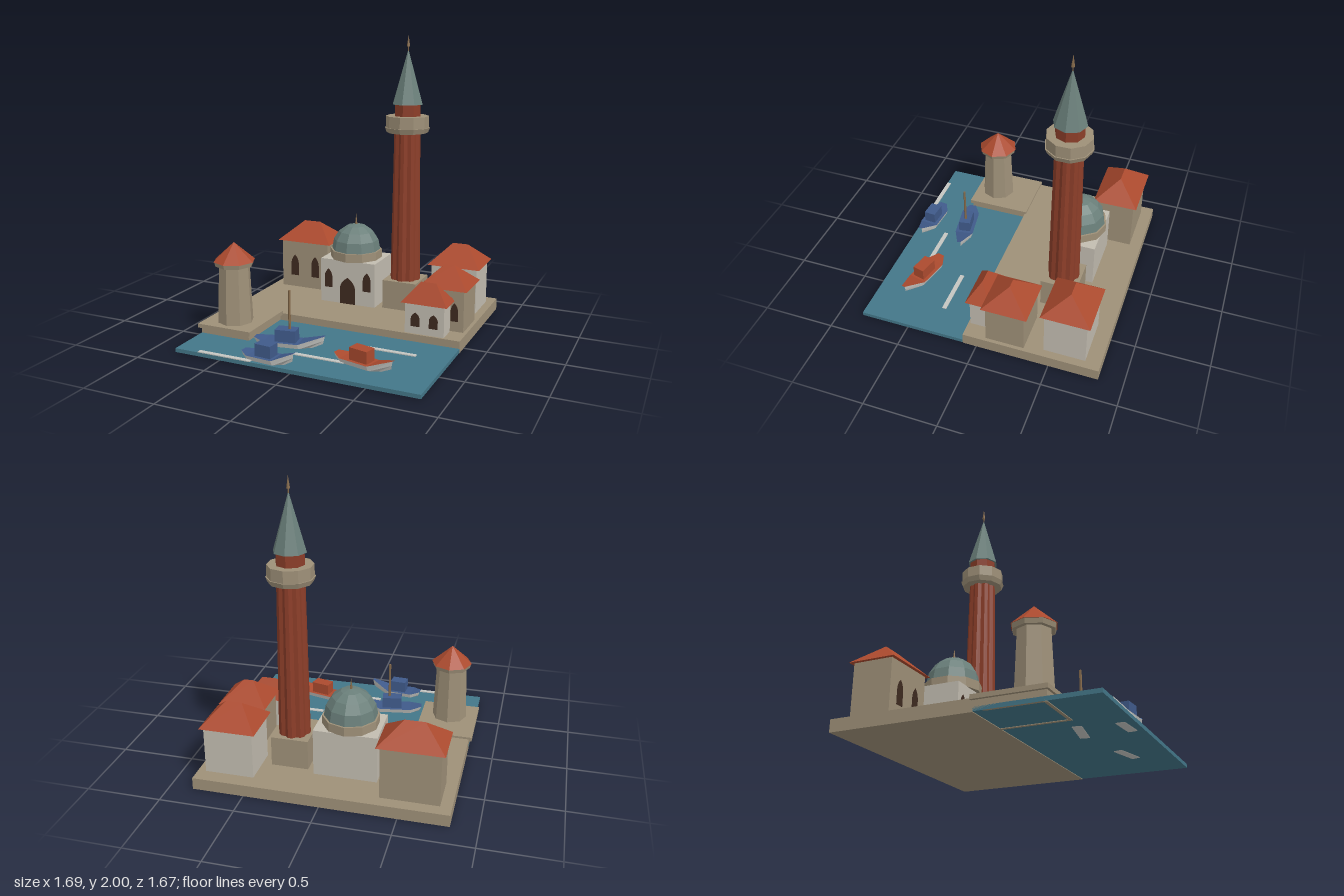
import * as THREE from 'three';

const paint = (name, color) => {
  const m = new THREE.MeshStandardMaterial({ color, flatShading: true });
  m.name = name;
  return m;
};

export function createModel() {
  const stone = paint('sandstone', 0x9e9078), sea = paint('sea blue', 0x437688);
  const tile = paint('roof tile red', 0xab4a2e), brick = paint('brick red', 0x8c3e29);
  const copper = paint('weathered copper', 0x6a7f7a), plaster = paint('pale plaster', 0xc2bcb0);
  const dark = paint('dark opening', 0x3e2a20), blue = paint('boat blue', 0x3f5a8a);
  const wood = paint('wood', 0x84694a), foam = paint('pale grey', 0xc4c5c1);

  const model = new THREE.Group();
  model.name = 'harbourTown';
  // Centres the whole layout on the origin
  const town = new THREE.Group();
  town.name = 'town';
  town.position.set(0.004, 0, 0.005);
  model.add(town);

  const add = (name, geo, mat, x = 0, y = 0, z = 0, parent = town) => {
    const m = new THREE.Mesh(geo, mat);
    m.name = name;
    m.position.set(x, y, z);
    parent.add(m);
    return m;
  };
  // Box given by its extents
  const block = (name, mat, x0, x1, y0, y1, z0, z1, parent = town) =>
    add(name, new THREE.BoxGeometry(x1 - x0, y1 - y0, z1 - z0), mat,
      (x0 + x1) / 2, (y0 + y1) / 2, (z0 + z1) / 2, parent);
  // Upright prism or cone between two heights
  const prism = (name, mat, rTop, rBottom, y0, y1, sides, x, z) =>
    add(name, new THREE.CylinderGeometry(rTop, rBottom, y1 - y0, sides), mat, x, (y0 + y1) / 2, z);
  // Flat-faced geometry from polygons; each entry is a fan of corner points
  const faceted = (faces, groupOf = () => 0) => {
    const pos = [], geo = new THREE.BufferGeometry();
    faces.forEach((f, n) => {
      const start = pos.length / 3;
      for (let i = 1; i < f.length - 1; i++) pos.push(...f[0], ...f[i], ...f[i + 1]);
      geo.addGroup(start, pos.length / 3 - start, groupOf(n));
    });
    geo.setAttribute('position', new THREE.Float32BufferAttribute(pos, 3));
    geo.computeVertexNormals();
    return geo;
  };
  // Thin pointed-arch plate on a front wall
  const arch = (name, x, y, z, w, h) => {
    const s = new THREE.Shape();
    s.moveTo(-w / 2, 0);
    s.lineTo(w / 2, 0);
    s.lineTo(w / 2, h * 0.58);
    s.quadraticCurveTo(w * 0.45, h * 0.84, 0, h);
    s.quadraticCurveTo(-w * 0.45, h * 0.84, -w / 2, h * 0.58);
    add(name, new THREE.ExtrudeGeometry(s, { depth: 0.004, bevelEnabled: false, curveSegments: 4 }), dark, x, y, z - 0.001);
  };

  // Ground, water and foam streaks
  block('quayGround', stone, -0.83, 0.84, 0, 0.08, -0.84, 0.09);
  block('water', sea, -0.83, 0.84, 0.004, 0.03, 0.09, 0.83);
  [[0.29, 0.625, 0.30], [-0.09, 0.26, 0.585], [-0.66, -0.28, 0.80]].forEach(([a, b, z]) =>
    block('foamStreak', foam, a, b, 0.028, 0.036, z, z + 0.03));

  // Pier: retaining walls under a slab
  block('pierSideWall', stone, -0.485, -0.465, 0, 0.07, 0.09, 0.525);
  block('pierFrontWall', stone, -0.83, -0.465, 0, 0.07, 0.505, 0.525);
  block('pierOuterWall', stone, -0.83, -0.81, 0.004, 0.07, 0.09, 0.525);
  block('pierSlab', stone, -0.85, -0.45, 0.067, 0.095, 0.08, 0.54);

  // Harbour tower on the pier
  const tx = -0.652, tz = 0.378;
  prism('towerBody', stone, 0.105, 0.122, 0.095, 0.49, 8, tx, tz);
  prism('towerCornice', stone, 0.138, 0.13, 0.488, 0.52, 8, tx, tz);
  prism('towerRoof', tile, 0, 0.142, 0.518, 0.645, 8, tx, tz);

  // Houses with hipped roofs, given by eaves extents and ridge ends
  const house = (mat, x0, x1, z0, z1, ridge0, ridge1, eaves, top, win) => {
    const e = 0.024, zc = (z0 + z1) / 2, xc = (x0 + x1) / 2;
    block('houseWalls', mat, x0 + e, x1 - e, 0.08, eaves + 0.005, z0 + e, z1 - e);
    const a = [x0, eaves, z1], b = [x1, eaves, z1], c = [x1, eaves, z0], d = [x0, eaves, z0];
    const l = [ridge0, top, zc], r = [ridge1, top, zc];
    add('houseRoof', faceted([[a, b, r, l], [b, c, r], [c, d, l, r], [d, a, l], [a, d, c, b]]), tile);
    const [off, y, w, h] = win;
    for (const s of [-1, 1]) arch('houseWindow', xc + s * off, y, z1 - e, w, h);
  };
  house(stone, -0.78, -0.35, -0.782, -0.468, -0.63, -0.50, 0.44, 0.575, [0.085, 0.17, 0.062, 0.16]);
  house(plaster, 0.435, 0.81, -0.762, -0.432, 0.57, 0.68, 0.40, 0.535, [0.08, 0.18, 0.055, 0.14]);
  house(stone, 0.505, 0.84, -0.354, -0.042, 0.64, 0.705, 0.365, 0.495, [0.08, 0.15, 0.05, 0.125]);
  house(plaster, 0.435, 0.752, -0.077, 0.1, 0.545, 0.65, 0.29, 0.42, [0.0625, 0.13, 0.06, 0.095]);

  // Domed hall
  const hx = -0.114, hz = -0.433;
  block('hallWalls', plaster, -0.325, 0.097, 0.08, 0.40, -0.598, -0.278);
  prism('domeDrum', stone, 0.188, 0.188, 0.398, 0.46, 10, hx, hz);
  const profile = [0, 1, 2, 3, 4].map(i => {
    const t = i * Math.PI / 8;
    return new THREE.Vector2(Math.max(0, 0.176 * Math.cos(t)), 0.185 * Math.sin(t));
  });
  add('dome', new THREE.LatheGeometry(profile, 10), copper, hx, 0.46, hz);
  prism('domeSpike', wood, 0, 0.01, 0.64, 0.72, 5, hx, hz);
  arch('hallDoor', hx, 0.08, -0.278, 0.12, 0.195);
  for (const s of [-1, 1]) arch('hallWindow', hx + s * 0.15, 0.19, -0.278, 0.06, 0.138);

  // Tall fluted tower
  const mx = 0.27, mz = -0.433;
  block('tallTowerBase', stone, mx - 0.125, mx + 0.125, 0.08, 0.285, mz - 0.125, mz + 0.125);
  const shaft = new THREE.CylinderGeometry(0.092, 0.107, 1.075, 24, 1);
  const p = shaft.attributes.position;
  for (let i = 0; i < p.count; i++) {
    // Pull in every third corner to cut eight grooves
    const step = Math.round(Math.atan2(p.getX(i), p.getZ(i)) / (Math.PI / 12));
    if (step % 3 === 0) p.setXYZ(i, p.getX(i) * 0.88, p.getY(i), p.getZ(i) * 0.88);
  }
  add('flutedShaft', shaft, brick, mx, 0.285 + 0.5375, mz).rotation.y = Math.PI / 8;
  prism('balconyLip', stone, 0.157, 0.143, 1.335, 1.37, 10, mx, mz);
  prism('balconyWall', stone, 0.149, 0.149, 1.368, 1.45, 10, mx, mz);
  prism('upperShaft', brick, 0.094, 0.094, 1.44, 1.535, 8, mx, mz);
  prism('tallTowerCap', copper, 0, 0.109, 1.53, 1.905, 8, mx, mz);
  prism('capSpike', wood, 0.004, 0.004, 1.89, 1.925, 6, mx, mz);
  prism('capSpikeTip', wood, 0, 0.012, 1.92, 2.0, 6, mx, mz);

  // Boats: hull sections as [x, half width, deck height, keel height, keel x], bow towards +x
  const sections = [[-0.24, 0.025, 0.07, 0.022, -0.215], [-0.16, 0.066, 0.06, 0, -0.15],
    [0.07, 0.066, 0.06, 0, 0.08], [0.24, 0.012, 0.115, 0.06, 0.225]];
  const boat = (mat, x, z, turn, size, cabinL, mast) => {
    const g = new THREE.Group();
    g.name = 'boat';
    g.position.set(x, 0, z);
    g.rotation.y = turn;
    town.add(g);
    // Each ring runs from the left gunwale under the keel to the right gunwale
    const rings = sections.map(([sx, w, y, k, kx]) => {
      const mid = (sx + kx) / 2 * size, bilge = k + (y - k) * 0.45;
      return [[sx * size, y, w], [mid, bilge, w * 0.85], [kx * size, k, w * 0.4],
        [kx * size, k, -w * 0.4], [mid, bilge, -w * 0.85], [sx * size, y, -w]];
    });
    const decks = [], sides = [[...rings[0]].reverse(), rings[3]];
    for (let i = 0; i < 3; i++) {
      const a = rings[i], b = rings[i + 1];
      decks.push([a[0], b[0], b[5], a[5]]);
      for (let j = 0; j < 5; j++) sides.push([a[j + 1], b[j + 1], b[j], a[j]]);
    }
    sides[0].reverse();
    sides[1] = [...sides[1]].reverse();
    add('hull', faceted([...decks, ...sides], n => (n < decks.length ? 0 : 1)), [mat, foam], 0, 0, 0, g);
    block('cabin', mat, -0.02 - cabinL / 2, -0.02 + cabinL / 2, 0.055, 0.14, -0.042, 0.042, g);
    if (mast) add('mast', new THREE.CylinderGeometry(0.008, 0.01, 0.34, 5), wood, 0, 0.23, 0, g);
  };
  boat(blue, -0.185, 0.475, 0.16, 1, 0.14, true);
  boat(tile, 0.385, 0.58, -0.24, 0.91, 0.135, false);
  boat(blue, -0.185, 0.755, -0.08, 0.79, 0.115, false);

  return model;
}
